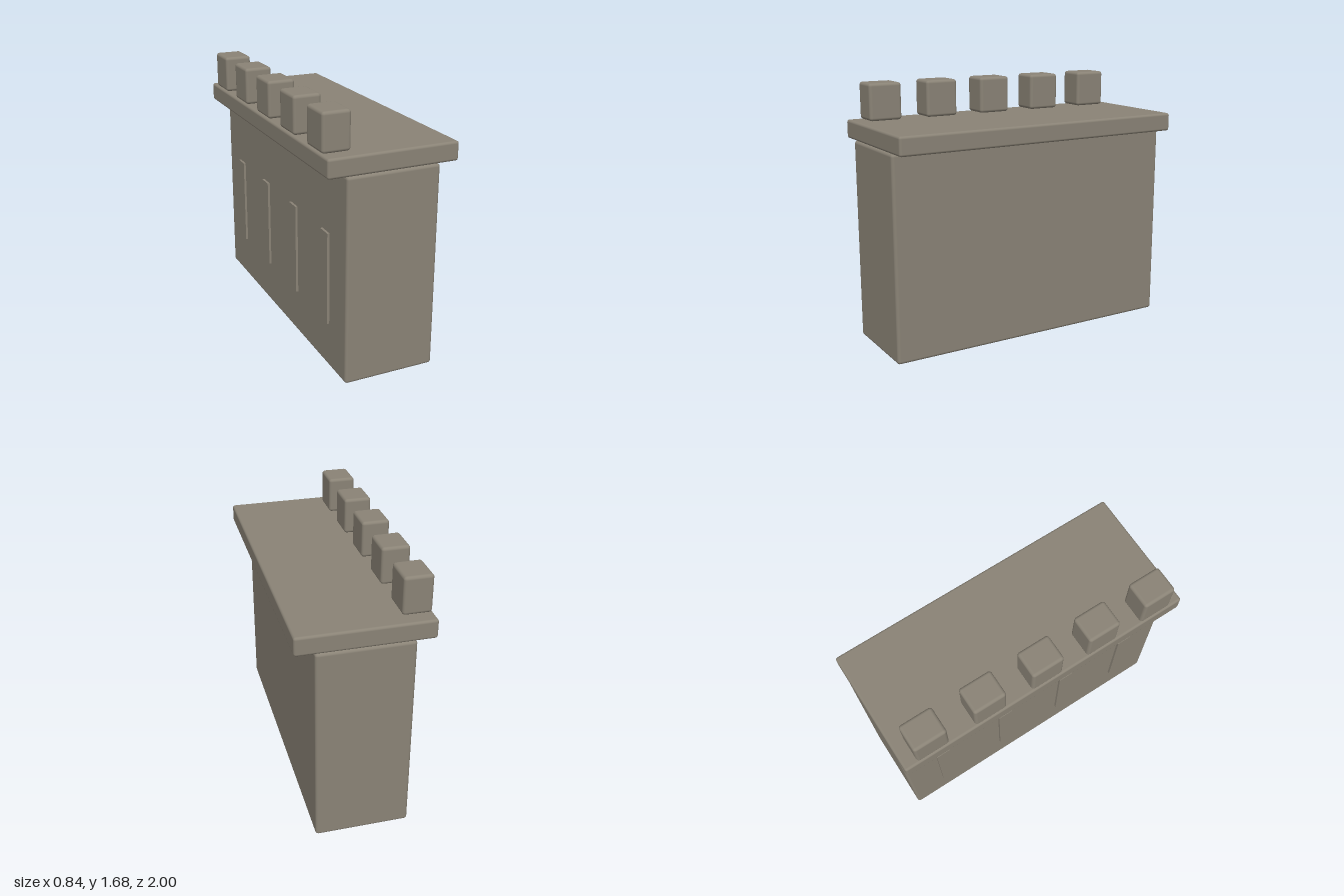
import * as THREE from 'three';
import { RoundedBoxGeometry } from 'three/addons/geometries/RoundedBoxGeometry.js';

export function createModel() {
  const group = new THREE.Group();
  const stone = new THREE.MeshStandardMaterial({ color: 0x8a8376 });
  stone.name = 'stone';

  // Adds a stone block standing on height y, with softened edges when a radius is given
  const block = (name, [w, h, d], [x, y, z], radius) => {
    const geometry = radius
      ? new RoundedBoxGeometry(w, h, d, 3, radius)
      : new THREE.BoxGeometry(w, h, d);
    const mesh = new THREE.Mesh(geometry, stone);
    mesh.name = name;
    mesh.position.set(x, y + h / 2, z);
    group.add(mesh);
  };

  // Wall and overhanging walkway
  block('wall', [0.6, 1.32, 2], [0, 0, 0], 0.02);
  block('walkway', [0.84, 0.12, 2], [0, 1.32, 0], 0.016);

  // Battlements along the outer edge
  for (let i = -2; i <= 2; i++) {
    block('merlon', [0.18, 0.24, 0.22], [-0.322, 1.44, i * 0.4], 0.02);
  }

  // Narrow arrow slits, slightly proud of the outer face
  for (let i = 0; i < 4; i++) {
    block('arrowSlit', [0.03, 0.6, 0.1], [-0.3, 0.3, -0.72 + i * 0.48]);
  }

  return group;
}
